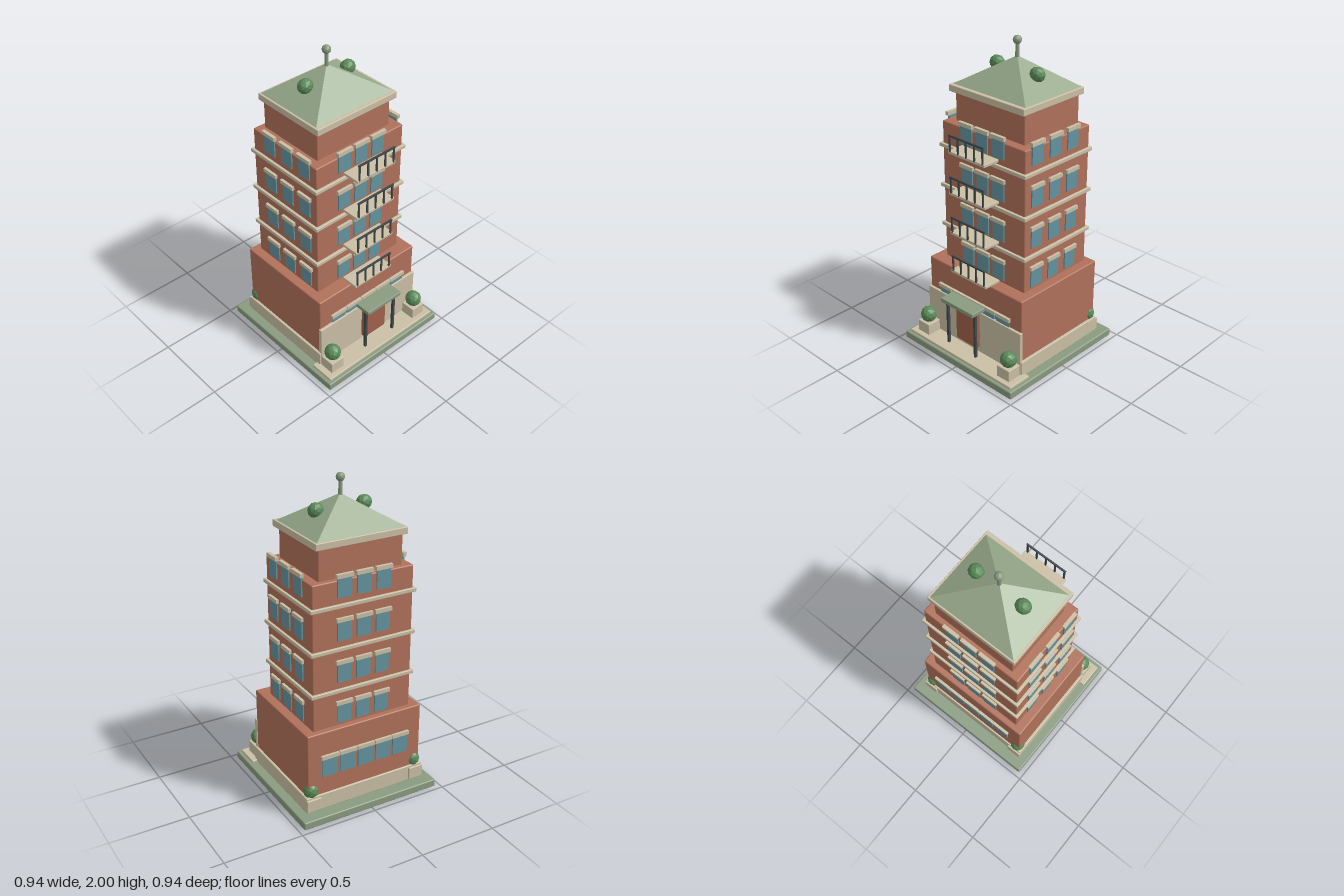
import * as THREE from 'three';
import { RoundedBoxGeometry } from 'three/addons/geometries/RoundedBoxGeometry.js';

const mat = (name, color, flatShading = false) => {
  const m = new THREE.MeshStandardMaterial({ color, flatShading });
  m.name = name;
  return m;
};

export function createModel() {
  const brick = mat('brick', 0xb0715a);
  const stone = mat('stone', 0xcabfa5);
  const green = mat('greyGreen', 0x8a9b80);
  const roofGreen = mat('roofGreen', 0x96a88a, true);
  const glass = mat('glass', 0x64949f);
  const metal = mat('darkMetal', 0x41494c);
  const wood = mat('doorBrown', 0xa2614b);
  const leaf = mat('leaf', 0x5a8a58, true);
  const finialGreen = mat('finial', 0x8a9b80, true);

  const model = new THREE.Group();
  model.name = 'tower';

  const add = (name, geo, material, x = 0, y = 0, z = 0, parent = model) => {
    const mesh = new THREE.Mesh(geo, material);
    mesh.name = name;
    mesh.position.set(x, y, z);
    parent.add(mesh);
    return mesh;
  };
  // Box given by its limits on each axis; r rounds the edges
  const block = (name, material, [x0, x1], [y0, y1], [z0, z1], r = 0, parent = model) => {
    const s = [x1 - x0, y1 - y0, z1 - z0];
    const geo = r ? new RoundedBoxGeometry(...s, 2, r) : new THREE.BoxGeometry(...s);
    return add(name, geo, material, (x0 + x1) / 2, (y0 + y1) / 2, (z0 + z1) / 2, parent);
  };

  // Ground and main volumes
  block('lawn', green, [-0.468, 0.468], [0, 0.05], [-0.468, 0.468], 0.008);
  block('paving', stone, [-0.444, 0.444], [0.045, 0.065], [0.28, 0.446], 0.005);
  block('plinth', stone, [-0.41, 0.41], [0.05, 0.153], [-0.388, 0.31], 0.005);
  block('baseStorey', brick, [-0.394, 0.394], [0.06, 0.565], [-0.377, 0.297], 0.008);
  block('frontFacade', stone, [-0.4, 0.4], [0.05, 0.353], [0.29, 0.314], 0.004);
  block('towerShaft', brick, [-0.334, 0.334], [0.55, 1.475], [-0.338, 0.212], 0.008);
  block('topStorey', brick, [-0.275, 0.275], [1.46, 1.67], [-0.305, 0.155], 0.006);

  // Stone bands between storeys
  for (let i = 0; i < 3; i++) {
    const y = 0.78 + i * 0.265;
    block('storeyBand', stone, [-0.35, 0.35], [y, y + 0.024], [-0.353, 0.228], 0.004);
  }

  // Window facing +z in its own group, turned to the wall it sits on
  const addWindow = (x, y, z, turn, w, lintelW, h) => {
    const g = new THREE.Group();
    g.name = 'window';
    g.position.set(x, y, z);
    g.rotation.y = turn;
    block('pane', glass, [-w / 2, w / 2], [0, h], [-0.004, 0.008], 0, g);
    block('lintel', stone, [-lintelW / 2, lintelW / 2], [h, h + 0.024], [-0.004, 0.017], 0, g);
    model.add(g);
  };

  for (let i = -2; i <= 2; i++) {
    addWindow(i * 0.123, 0.27, 0.297, 0, 0.105, 0.119, 0.12);
    addWindow(i * 0.123, 0.27, -0.377, Math.PI, 0.105, 0.119, 0.12);
  }

  for (let floor = 0; floor < 4; floor++) {
    const y = 0.583 + floor * 0.263;
    for (let i = -1; i <= 1; i++) {
      addWindow(i * 0.128, y, 0.212, 0, 0.092, 0.11, 0.118);
      addWindow(i * 0.128, y, -0.338, Math.PI, 0.092, 0.11, 0.118);
      for (const s of [-1, 1])
        addWindow(s * 0.334, y, -0.035 + i * 0.15, s * Math.PI / 2, 0.09, 0.108, 0.118);
    }
    // Balcony with railing
    const balcony = new THREE.Group();
    balcony.name = 'balcony';
    balcony.position.y = y;
    model.add(balcony);
    block('balconySlab', stone, [-0.149, 0.149], [-0.013, 0.005], [0.23, 0.346], 0.003, balcony);
    block('handrail', metal, [-0.14, 0.14], [0.096, 0.107], [0.338, 0.348], 0, balcony);
    for (let i = -2; i <= 2; i++)
      block('railPost', metal, [i * 0.066 - 0.005, i * 0.066 + 0.005], [0, 0.1], [0.339, 0.347], 0, balcony);
  }

  // Entrance
  block('doorFrame', wood, [-0.09, 0.09], [0.135, 0.405], [0.342, 0.37], 0.003);
  block('doorPanel', wood, [-0.074, 0.074], [0.142, 0.397], [0.365, 0.38], 0.003);
  block('canopy', green, [-0.138, 0.138], [0.41, 0.437], [0.344, 0.451], 0.004);
  for (const s of [-1, 1])
    block('canopyPost', metal, [s * 0.118 - 0.008, s * 0.118 + 0.008], [0.105, 0.412], [0.401, 0.417]);

  // Planters and roof shrubs
  const bush = (name, x, y, z, rx, ry, rz) =>
    add(name, new THREE.IcosahedronGeometry(1, 1), leaf, x, y, z).scale.set(rx, ry, rz);
  for (const s of [-1, 1]) {
    for (const [x, z, r] of [[0.353, 0.365, 0.052], [0.362, -0.352, 0.047]]) {
      block('planter', stone, [s * x - 0.049, s * x + 0.049], [0.06, 0.14], [z - 0.048, z + 0.048], 0.004);
      bush('planterBush', s * x, 0.182, z, r, 0.053, r);
    }
    bush('roofBush', s * 0.158, 1.803, -0.073, 0.049, 0.046, 0.043);
  }

  // Pyramid roof with finial
  block('eaves', stone, [-0.298, 0.298], [1.66, 1.702], [-0.322, 0.188], 0.004);
  const pyramid = new THREE.ConeGeometry(Math.SQRT2, 1, 4, 1).rotateY(Math.PI / 4);
  add('roof', pyramid, roofGreen, 0, 1.79, -0.075).scale.set(0.289, 0.18, 0.24);
  add('finialPole', new THREE.CylinderGeometry(0.011, 0.013, 0.11, 10), green, 0, 1.91, -0.075);
  add('finialBall', new THREE.IcosahedronGeometry(0.027, 1), finialGreen, 0, 1.973, -0.075);

  return model;
}
